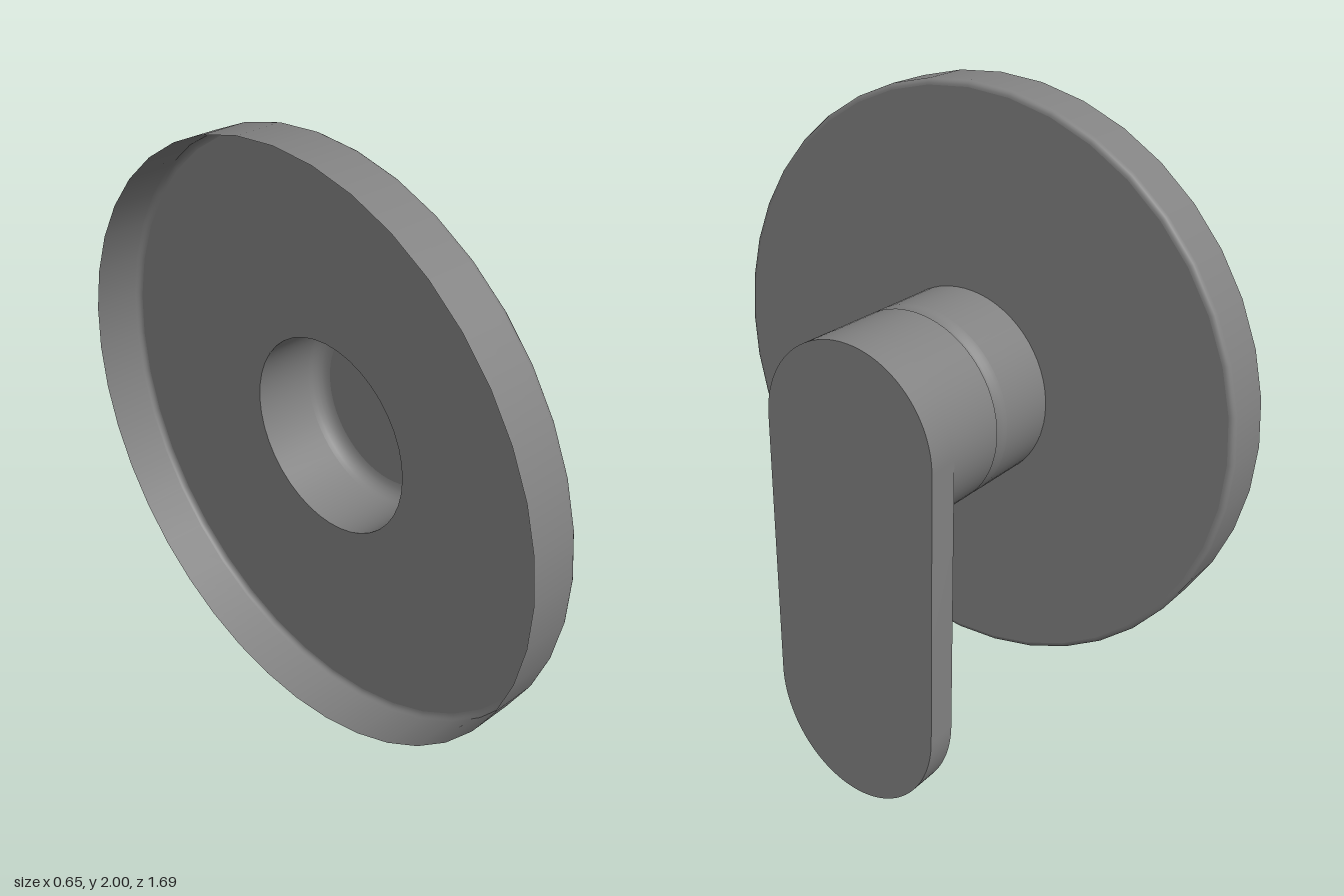
import * as THREE from 'three';
import { mergeGeometries, toCreasedNormals } from 'three/addons/utils/BufferGeometryUtils.js';

const AXIS_Y = 1.155; // height of the common axis
const HUB_R = 0.282;
const PLATE_R = 0.845;

const material = new THREE.MeshStandardMaterial({ color: 0x828282, side: THREE.DoubleSide });

// Quarter-round profile from the outer wall to the front face, as [radius, x] points
function fillet(radius, front, size, steps = 5) {
  return Array.from({ length: steps + 1 }, (_, i) => {
    const a = (i / steps) * Math.PI / 2;
    return [radius - size + size * Math.cos(a), front - size + size * Math.sin(a)];
  });
}

// Turns profiles around the x axis; separate profiles meet in a sharp edge
function turned(name, profiles, segments) {
  const parts = profiles.map((p) =>
    new THREE.LatheGeometry(p.map(([r, x]) => new THREE.Vector2(r, x)), segments));
  const geometry = mergeGeometries(parts);
  geometry.rotateZ(-Math.PI / 2);
  geometry.translate(0, AXIS_Y, 0);
  const mesh = new THREE.Mesh(geometry, material);
  mesh.name = name;
  return mesh;
}

export function createModel() {
  const group = new THREE.Group();
  group.name = 'wallMixer';

  // Thin dished wall plate, open at the back, with a central hole
  const plateFillet = fillet(PLATE_R, -0.178, 0.016);
  group.add(turned('wallPlate', [
    [[PLATE_R, -0.325], plateFillet[0]],
    plateFillet,
    [plateFillet.at(-1), [HUB_R, -0.178]],
  ], 40));

  // Hollow collar with a rounded front edge
  const collarFillet = fillet(HUB_R, 0.047, 0.044);
  group.add(turned('collar', [
    [[HUB_R, -0.178], collarFillet[0]],
    collarFillet,
  ], 64));

  // Turning hub, closed towards the collar
  group.add(turned('hub', [
    [[0, 0.048], [HUB_R, 0.048]],
    [[HUB_R, 0.048], [HUB_R, 0.233]],
  ], 64));

  // Flat lever hanging from the hub, rounded at both ends
  const endY = 0.32;
  const outline = new THREE.Shape();
  outline.absarc(0, AXIS_Y, HUB_R, 0, Math.PI, false);
  outline.lineTo(-HUB_R, endY);
  outline.absellipse(0, endY, HUB_R, endY, Math.PI, Math.PI * 2, false, 0);
  outline.closePath();
  const leverGeometry = new THREE.ExtrudeGeometry(outline, {
    depth: 0.091, bevelEnabled: false, curveSegments: 32,
  });
  leverGeometry.rotateY(Math.PI / 2);
  leverGeometry.translate(0.233, 0, 0);
  const lever = new THREE.Mesh(toCreasedNormals(leverGeometry, 0.6), material);
  lever.name = 'lever';
  group.add(lever);

  return group;
}
